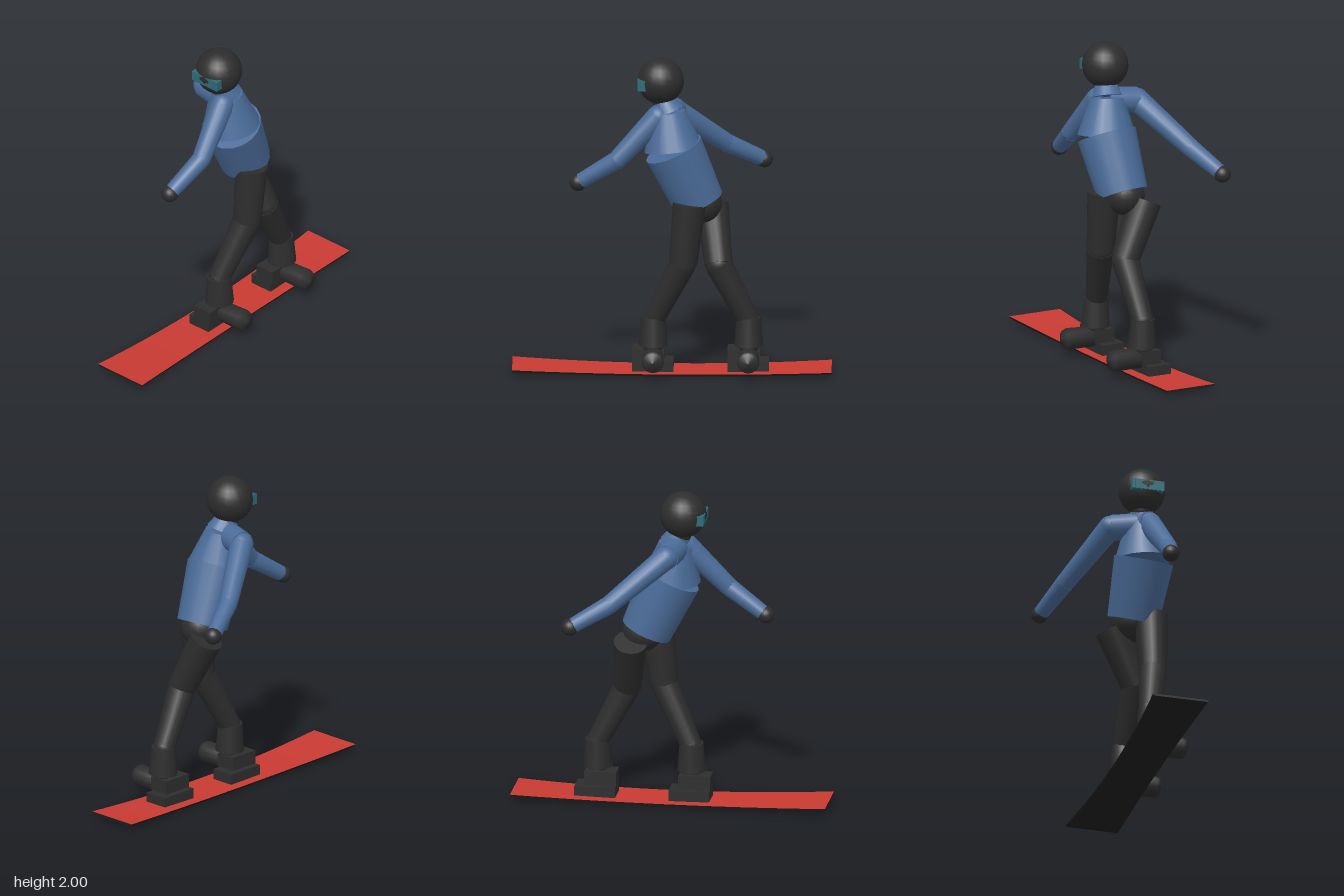
import * as THREE from 'three';

const mat = (name, color) => {
  const m = new THREE.MeshStandardMaterial({ color });
  m.name = name;
  return m;
};

export function createModel() {
  const model = new THREE.Group();
  const black = mat('black gear', 0x2d2d2d);
  const base = mat('board base black', 0x1e1e1e);
  const blue = mat('jacket blue', 0x4a6b98);
  const red = mat('board red', 0xc83a32);
  const teal = mat('goggle teal', 0x2c6b78);

  const V = (p) => new THREE.Vector3(...p);
  const UP = new THREE.Vector3(0, 1, 0);

  const add = (name, geo, material, pos = [0, 0, 0], parent = model) => {
    const mesh = new THREE.Mesh(geo, material);
    mesh.name = name;
    mesh.position.set(...pos);
    parent.add(mesh);
    return mesh;
  };
  // Tapered cylinder from point a to point b
  const limb = (name, a, b, ra, rb, material, sides = 16) => {
    const d = V(b).sub(V(a));
    const mesh = add(name, new THREE.CylinderGeometry(rb, ra, d.length(), sides), material,
      V(a).add(V(b)).multiplyScalar(0.5).toArray());
    mesh.quaternion.setFromUnitVectors(UP, d.normalize());
    return mesh;
  };
  const ball = (name, p, r, material) =>
    add(name, new THREE.SphereGeometry(r, 20, 14), material, p);
  // Box given by its minimum and maximum corners
  const box = (name, lo, hi, material) =>
    add(name, new THREE.BoxGeometry(...hi.map((h, i) => h - lo[i])), material,
      hi.map((h, i) => (h + lo[i]) / 2));

  // Snowboard: a box with sidecut and raised tips
  const board = new THREE.BoxGeometry(1, 1, 2, 4, 1, 24);
  const p = board.attributes.position;
  for (let i = 0; i < p.count; i++) {
    const z = p.getZ(i);
    const top = p.getY(i) > 0;
    const half = 0.145 + 0.03 * z * z + 0.005 * z - (top ? 0 : 0.006);
    p.setXYZ(i, 0.107 + p.getX(i) * 2 * half,
      0.026 * z * z + 0.006 * z + (top ? 0.014 : 0), z * 0.988);
  }
  board.computeVertexNormals();
  add('snowboard', board, [base, base, red, base, base, base]);

  // Bindings, boots and cuffs
  for (const [side, z] of [['front', 0.115], ['rear', -0.475]]) {
    box(side + 'BindingPlate', [0.03, 0.012, z - 0.125], [0.185, 0.08, z + 0.13], black);
    box(side + 'BindingStrap', [0.07, 0.08, z - 0.07], [0.2, 0.165, z + 0.13], black);
    const profile = [[0, 0], [0.06, 0], [0.068, 0.26], [0.058, 0.285], [0, 0.305]]
      .map(([r, y]) => new THREE.Vector2(r, y));
    const boot = add(side + 'Boot', new THREE.LatheGeometry(profile, 16), black, [0.1, 0.11, z]);
    boot.rotation.z = -Math.PI / 2 + 0.03;
    limb(side + 'BootCuff', [0.165, 0.18, z], [0.16, 0.36, z], 0.089, 0.075, black);
    ball(side + 'Ankle', [0.165, 0.19, z], 0.07, black);
  }

  // Legs: hip, knee, ankle
  const legs = [
    ['front', [0.23, 1.1, -0.11], [0.232, 0.72, -0.07], [0.16, 0.35, 0.11]],
    ['rear', [0.015, 1.04, -0.245], [0.18, 0.7, -0.29], [0.16, 0.35, -0.47]],
  ];
  for (const [side, hip, knee, ankle] of legs) {
    limb(side + 'Thigh', hip, knee, 0.104, 0.088, black);
    limb(side + 'Shin', knee, ankle, 0.086, 0.068, black);
    ball(side + 'Knee', knee, 0.083, black);
    ball(side + 'ShinCuffTop', ankle, 0.068, black);
  }
  ball('pelvis', [0.125, 1.08, -0.185], 0.125, black);

  // Jacket body
  const waist = [0.13, 1.085, -0.165];
  const chest = [0.155, 1.43, -0.01];
  const yoke = [0.135, 1.66, 0.02];
  const collar = [0.125, 1.73, 0.05];
  limb('jacketLower', waist, chest, 0.16, 0.186, blue, 18);
  limb('jacketUpper', chest, yoke, 0.182, 0.105, blue, 18);
  limb('jacketCollar', yoke, collar, 0.1, 0.07, blue, 18);

  // Arms: shoulder, elbow, hand
  const arms = [
    ['rear', [-0.06, 1.625, -0.01], [-0.26, 1.365, -0.335], [-0.355, 1.24, -0.565]],
    ['front', [0.165, 1.635, 0.085], [0.21, 1.37, 0.34], [0.16, 1.215, 0.58]],
  ];
  for (const [side, shoulder, elbow, hand] of arms) {
    limb(side + 'Shoulder', [0.13, 1.64, 0.03], shoulder, 0.085, 0.08, blue);
    ball(side + 'ShoulderJoint', shoulder, 0.074, blue);
    limb(side + 'UpperArm', shoulder, elbow, 0.074, 0.058, blue);
    ball(side + 'Elbow', elbow, 0.057, blue);
    limb(side + 'Forearm', elbow, hand, 0.058, 0.047, blue);
    ball(side + 'Glove', hand, 0.053, black);
  }

  // Helmet and goggles
  ball('neck', [0.122, 1.73, 0.055], 0.066, black);
  ball('helmet', [0.12, 1.855, 0.07], 0.145, black);
  box('goggles', [0.02, 1.813, 0.13], [0.225, 1.878, 0.209], teal);
  const lens = new THREE.CylinderGeometry(0.04, 0.04, 0.006, 8);
  lens.rotateX(Math.PI / 2);
  add('gogglePatch', lens, black, [0.12, 1.855, 0.21]).scale.y = 0.4;
  // Hide the helmet bulge behind the lens
  box('goggleLens', [0.04, 1.815, 0.2], [0.205, 1.876, 0.2115], teal);
  return model;
}
